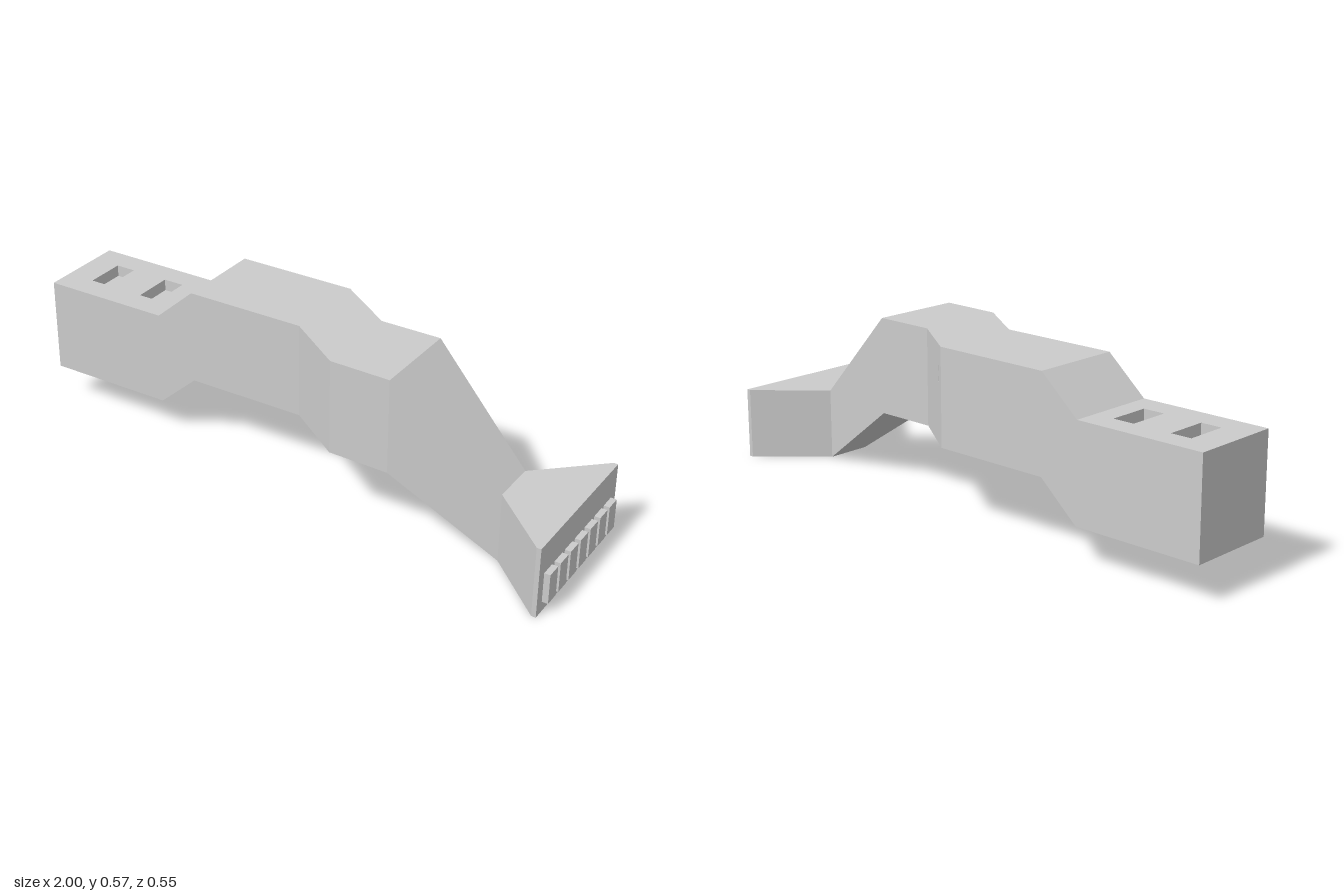
import * as THREE from 'three';
import { mergeGeometries } from 'three/addons/utils/BufferGeometryUtils.js';

const material = new THREE.MeshStandardMaterial({ color: 0xcccccc, flatShading: true });

// Duct cross-sections along x: [x, bottom, top, back z, front z]
const sections = [
  [-1, 0.125, 0.45, -0.276, 0.03],
  [-0.552, 0.125, 0.45, -0.276, 0.03],
  [-0.415, 0.246, 0.57, -0.276, 0.03],
  [0, 0.246, 0.57, -0.276, 0.03],
  [0.2, 0.246, 0.57, -0.138, 0.168],
  [0.41, 0.246, 0.57, -0.138, 0.172],
  [0.757, 0.001, 0.243, -0.069, 0.086],
  [0.965, 0, 0.243, -0.257, 0.277],
  [0.98, 0, 0.243, -0.257, 0.277],
];
const names = ['endBox', 'risingBend', 'upperDuct', 'sideBend', 'offsetDuct', 'slopingDuct', 'flare', 'frontPlate'];
const BACK = 1, TOP = 2;

const corners = ([x, y0, y1, z0, z1]) => [[x, y0, z1], [x, y0, z0], [x, y1, z0], [x, y1, z1]];

function quadsGeometry(quads) {
  const positions = quads.flatMap(([a, b, c, d]) => [a, b, c, a, c, d]).flat();
  const geometry = new THREE.BufferGeometry();
  geometry.setAttribute('position', new THREE.Float32BufferAttribute(positions, 3));
  geometry.computeVertexNormals();
  return geometry;
}

// Open-fronted recess, seen from inside
function pocket([u0, u1, v0, v1], depth) {
  const box = new THREE.BoxGeometry(u1 - u0, v1 - v0, depth);
  const index = Array.from(box.index.array);
  index.splice(24, 6); // leave out the outer face
  box.setIndex(index);
  box.scale(-1, 1, 1); // turn the walls inward
  box.translate((u0 + u1) / 2, (v0 + v1) / 2, -depth / 2);
  const geometry = box.toNonIndexed();
  geometry.computeVertexNormals();
  return geometry;
}

// Flat wall with recessed rectangles, placed by its corner and its two edge directions
function recessedPanel(name, origin, uEnd, vEnd, holes, depth) {
  const o = new THREE.Vector3(...origin);
  const u = new THREE.Vector3(...uEnd).sub(o), v = new THREE.Vector3(...vEnd).sub(o);
  const w = u.length(), h = v.length();
  const rectangle = (Type, a, b, c, d) => new Type([[a, c], [b, c], [b, d], [a, d]].map((p) => new THREE.Vector2(...p)));
  const shape = rectangle(THREE.Shape, 0, w, 0, h);
  holes.forEach((hole) => shape.holes.push(rectangle(THREE.Path, ...hole)));
  const geometry = mergeGeometries([
    new THREE.ShapeGeometry(shape).toNonIndexed(),
    ...holes.map((hole) => pocket(hole, depth)),
  ]);
  u.normalize();
  v.normalize();
  const n = new THREE.Vector3().crossVectors(u, v);
  geometry.applyMatrix4(new THREE.Matrix4().makeBasis(u, v, n).setPosition(o));
  const mesh = new THREE.Mesh(geometry, material);
  mesh.name = name;
  return mesh;
}

export function createModel() {
  const group = new THREE.Group();
  group.name = 'angledDuct';
  const rings = sections.map(corners);
  const last = rings.length - 1;

  // Duct segments between neighbouring cross-sections
  names.forEach((name, i) => {
    const a = rings[i], b = rings[i + 1];
    const quads = [];
    for (let k = 0; k < 4; k++) {
      if ((name === 'endBox' && k === TOP) || (name === 'sideBend' && k === BACK)) continue;
      const next = (k + 1) % 4;
      quads.push([a[k], a[next], b[next], b[k]]);
    }
    if (i === 0) quads.push([...a].reverse());
    if (i + 1 === last) quads.push(b);
    const mesh = new THREE.Mesh(quadsGeometry(quads), material);
    mesh.name = name;
    group.add(mesh);
  });

  // Top of the end box with two rectangular pockets
  group.add(recessedPanel('pocketedTop', rings[0][3], rings[1][3], rings[0][2],
    [[0.101, 0.172, 0.085, 0.225], [0.306, 0.38, 0.085, 0.225]], 0.04));

  // Slanted back wall with two small slots
  group.add(recessedPanel('slottedBackWall', rings[4][1], rings[3][1], rings[4][2],
    [[0.203, 0.213, 0.204, 0.221], [0.203, 0.213, 0.239, 0.257]], 0.012));

  // Row of raised blocks on the front plate
  const block = new THREE.BoxGeometry(0.02, 0.103, 0.052);
  for (let i = 0; i < 7; i++) {
    const mesh = new THREE.Mesh(block, material);
    mesh.name = `plateBlock${i + 1}`;
    mesh.position.set(0.99, 0.0875, 0.217 - i * 0.0692);
    group.add(mesh);
  }
  return group;
}
